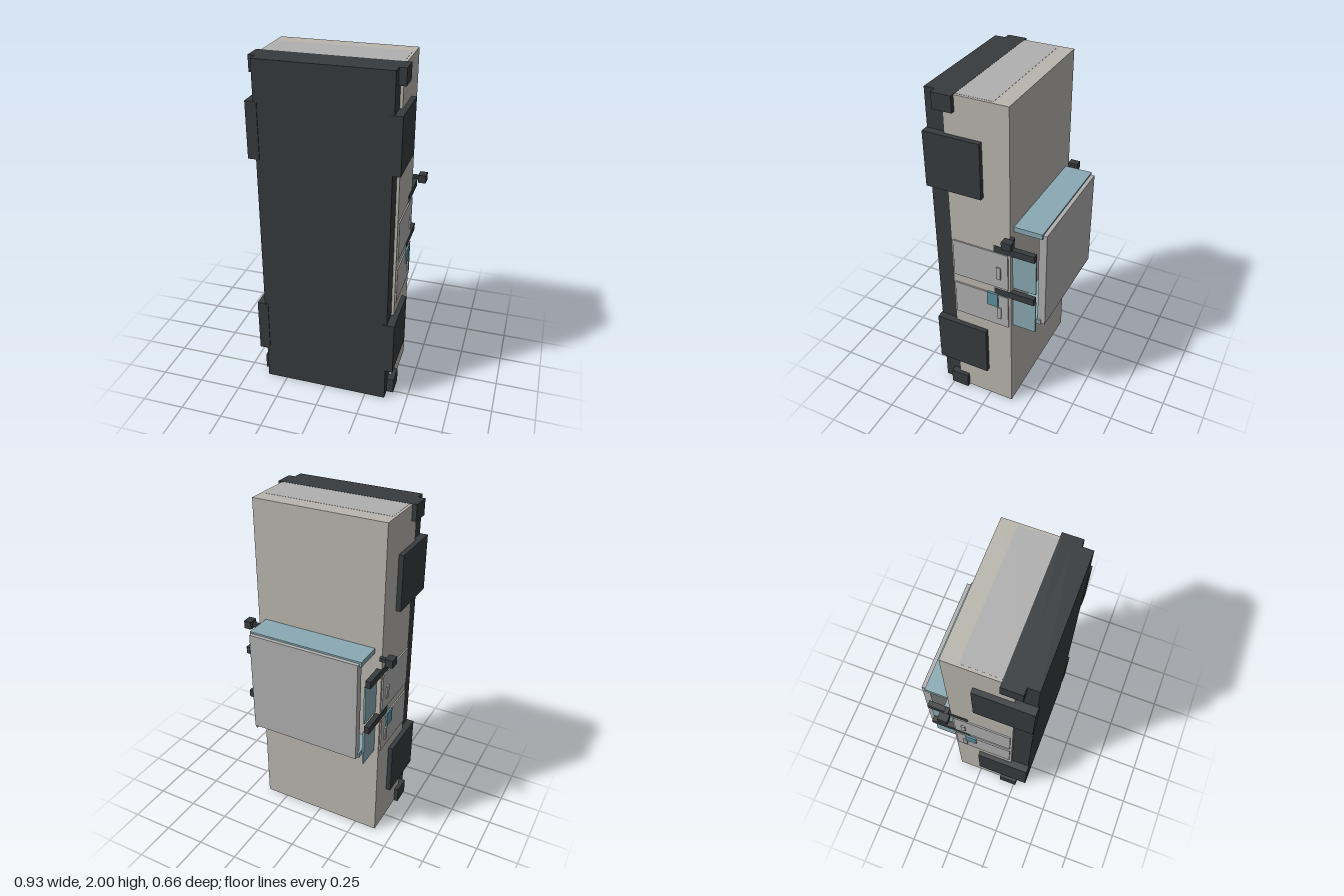
import * as THREE from 'three';

const mat = (color) => new THREE.MeshStandardMaterial({ color });

export function createModel() {
  const group = new THREE.Group();
  const dark = mat(0x373b3e), beige = mat(0xbab6ae), grey = mat(0xb0b0b0);
  const glass = mat(0x8aaab4), teal = mat(0x5f929f);

  // Box given by its [min, max] range on each axis
  function box(name, material, [x0, x1], [y0, y1], [z0, z1]) {
    const mesh = new THREE.Mesh(new THREE.BoxGeometry(x1 - x0, y1 - y0, z1 - z0), material);
    mesh.position.set((x0 + x1) / 2, (y0 + y1) / 2, (z0 + z1) / 2);
    mesh.name = name;
    group.add(mesh);
  }
  // The same box on the left and the right side
  function pair(name, material, [x0, x1], y, z) {
    box(name + 'Left', material, [x0, x1], y, z);
    box(name + 'Right', material, [-x1, -x0], y, z);
  }

  // Main body, with the end panels a hair proud of it
  box('body', beige, [-0.386, 0.386], [0.002, 1.998], [-0.145, 0.216]);
  box('endPanels', grey, [-0.371, 0.371], [0.001, 1.999], [-0.056, 0.216]);
  box('chassis', dark, [-0.37, 0.37], [0, 2], [0.215, 0.323]);

  // Bumpers across both ends
  box('lowerBumper', dark, [-0.41, 0.41], [0, 0.095], [0.15, 0.262]);
  box('upperBumper', dark, [-0.41, 0.41], [1.91, 2], [0.15, 0.262]);

  // Square wheels
  for (const y of [[0.21, 0.535], [1.46, 1.78]]) {
    pair('wheel', dark, [0.35, 0.414], y, [0.006, 0.328]);
  }

  // Doors with handles, and the windows in line with them
  for (const [y0, y1] of [[0.617, 0.837], [0.895, 1.133]]) {
    pair('door', grey, [0.38, 0.394], [y0, y1], [-0.132, 0.204]);
    pair('window', glass, [0.35, 0.36], [y0, y1], [-0.284, -0.142]);
  }
  for (const y of [[0.67, 0.75], [0.96, 1.04]]) {
    pair('doorHandle', grey, [0.39, 0.402], y, [-0.09, -0.065]);
  }
  pair('fuelFlap', teal, [0.39, 0.402], [0.755, 0.846], [-0.071, -0.004]);

  // Pillars between the windows
  for (const y of [[0.837, 0.88], [1.133, 1.175]]) {
    pair('pillar', dark, [0.357, 0.388], y, [-0.285, -0.046]);
  }

  // Cabin: two cross windows carrying the roof plate
  box('windscreen', glass, [-0.342, 0.342], [1.265, 1.296], [-0.308, -0.143]);
  box('rearWindow', glass, [-0.342, 0.342], [0.67, 0.702], [-0.308, -0.143]);
  box('roof', grey, [-0.332, 0.332], [0.673, 1.286], [-0.33, -0.285]);

  // Side mirrors on short arms
  pair('mirrorArm', dark, [0.38, 0.425], [1.24, 1.26], [-0.17, -0.146]);
  pair('mirror', dark, [0.42, 0.464], [1.227, 1.274], [-0.187, -0.13]);

  return group;
}
